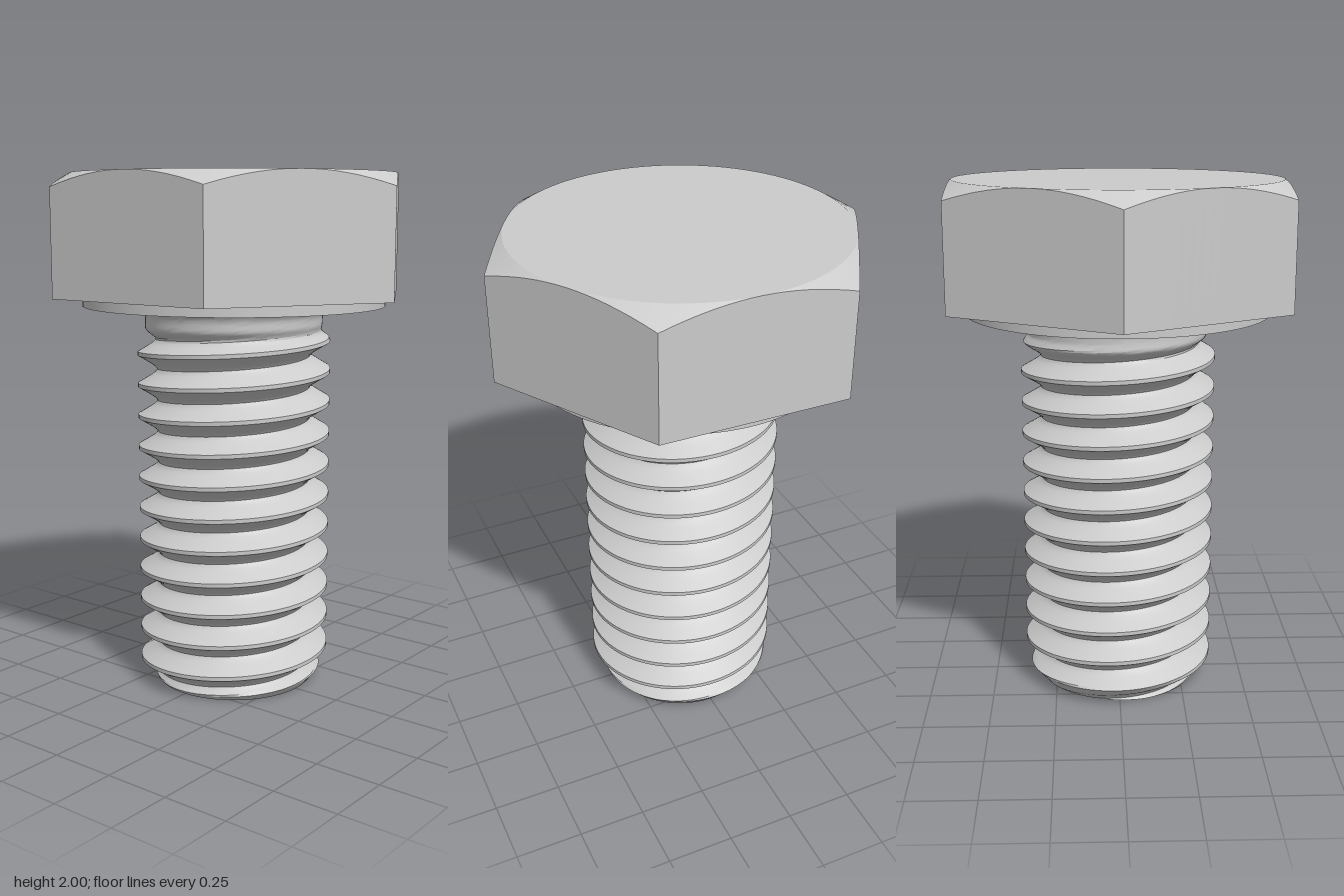
import * as THREE from 'three';
import { toCreasedNormals } from 'three/addons/utils/BufferGeometryUtils.js';

const COLS = 96;
const APOTHEM = 0.622, HEAD_BASE = 1.54, TOP = 2, WASHER_BASE = 1.5;
const PITCH = 0.123, MAJOR = 0.375, MINOR = 0.295, NECK = 0.345, FILLET = 0.05;
const CREST = 1.36; // height of a crest at angle 0
const TIP = 0.31; // radius of the flat end

// Skin a stack of rows; each row maps an angle to [radius, height].
function skin(rows) {
  const grid = rows.map((row) => Array.from({ length: COLS + 1 }, (_, i) => {
    const a = (i / COLS) * Math.PI * 2;
    const [r, y] = row(a);
    return new THREE.Vector3(r * Math.cos(a), y, -r * Math.sin(a));
  }));
  const pos = [];
  const tri = (a, b, c) => {
    const area = b.clone().sub(a).cross(c.clone().sub(a)).length();
    if (area > 1e-9) pos.push(...a.toArray(), ...b.toArray(), ...c.toArray());
  };
  for (let j = 0; j < grid.length - 1; j++) {
    for (let i = 0; i < COLS; i++) {
      const p = grid[j][i], q = grid[j][i + 1], s = grid[j + 1][i + 1], t = grid[j + 1][i];
      tri(p, q, s);
      tri(p, s, t);
    }
  }
  const geo = new THREE.BufferGeometry();
  geo.setAttribute('position', new THREE.Float32BufferAttribute(pos, 3));
  return toCreasedNormals(geo, THREE.MathUtils.degToRad(25));
}

// Hexagonal head: flats face +z and -z, corners trimmed by a 30 degree cone.
function headGeometry() {
  const hex = (a) => {
    const sector = Math.PI / 3;
    return APOTHEM / Math.cos((a % sector) - sector / 2);
  };
  return skin([
    () => [0, HEAD_BASE],
    (a) => [hex(a), HEAD_BASE],
    (a) => [hex(a), TOP - (hex(a) - APOTHEM) * Math.tan(Math.PI / 6)],
    () => [APOTHEM, TOP],
    () => [0, TOP],
  ]);
}

// 60 degree thread with flat crests and rounded roots; f is the pitch fraction from a crest.
const CREST_HALF = 1 / 16;
function threadRadius(f) {
  const d = Math.abs(f - Math.round(f)) * PITCH;
  const flank = MAJOR - Math.max(0, d - CREST_HALF * PITCH) * Math.sqrt(3);
  return (flank + MINOR + Math.hypot(flank - MINOR, 0.02)) / 2;
}

// Shank radius: thread, chamfered at the tip, running out into a filleted neck.
function shankRadius(f, y) {
  const thread = Math.min(threadRadius(f), TIP + y * 0.85);
  const r = THREE.MathUtils.lerp(thread, NECK, THREE.MathUtils.smoothstep(y, 1.36, 1.43));
  const h = Math.max(0, y - (WASHER_BASE - FILLET));
  return r + FILLET - Math.sqrt(Math.max(0, FILLET * FILLET - h * h));
}

// Rows follow the helix, so crest edges stay crisp; they are clamped at both ends.
function shankGeometry() {
  const rows = [() => [0, 0]];
  const steps = 14;
  for (let turn = -13; turn <= 2; turn++) {
    for (let k = 0; k <= steps; k++) {
      const f = turn + CREST_HALF + (k / steps) * (1 - 2 * CREST_HALF);
      rows.push((a) => {
        const lead = a / (Math.PI * 2);
        const y = THREE.MathUtils.clamp(CREST + PITCH * (f + lead), 0, WASHER_BASE);
        return [shankRadius((y - CREST) / PITCH - lead, y), y];
      });
    }
  }
  return skin(rows);
}

export function createModel() {
  const model = new THREE.Group();
  model.name = 'hexBolt';
  const material = new THREE.MeshStandardMaterial({ color: 0xcccccc });
  const add = (name, geometry) => {
    const mesh = new THREE.Mesh(geometry, material);
    mesh.name = name;
    model.add(mesh);
    return mesh;
  };

  add('hexHead', headGeometry());
  const washer = add('washerFace',
    new THREE.CylinderGeometry(0.585, 0.585, HEAD_BASE - WASHER_BASE, COLS));
  washer.position.y = (HEAD_BASE + WASHER_BASE) / 2;
  add('threadedShank', shankGeometry());
  return model;
}
